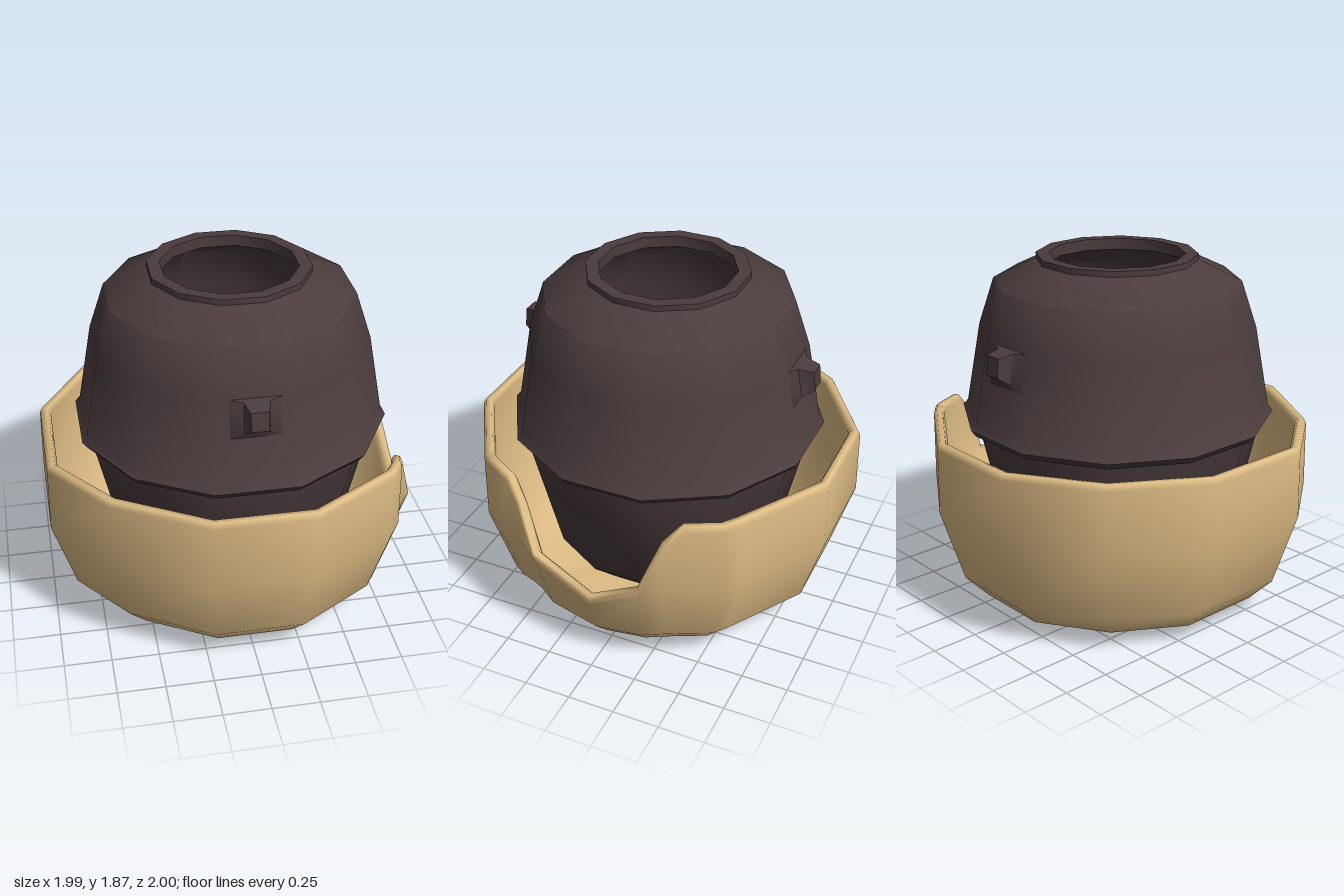
import * as THREE from 'three';
import { mergeVertices, toCreasedNormals } from 'three/addons/utils/BufferGeometryUtils.js';

// Skin over a closed loop of columns, each a list of [x, y, z] points
function loft(columns) {
  const n = columns.length, m = columns[0].length, index = [];
  for (let i = 0; i < n; i++) {
    for (let j = 0; j < m - 1; j++) {
      const a = i * m + j, b = ((i + 1) % n) * m + j;
      index.push(a, a + 1, b, b, a + 1, b + 1);
    }
  }
  let geo = new THREE.BufferGeometry();
  geo.setAttribute('position', new THREE.Float32BufferAttribute(columns.flat(2), 3));
  geo.setIndex(index);
  geo = mergeVertices(geo);
  geo.computeVertexNormals();
  return geo;
}

// Relative width of the bowl at height y
const BOWL_PROFILE = [[0, 0.63], [0.07, 0.76], [0.2, 0.88], [0.6, 1], [0.98, 0.995]];
function bowlScale(y) {
  for (let i = 1; i < BOWL_PROFILE.length; i++) {
    const [y0, s0] = BOWL_PROFILE[i - 1], [y1, s1] = BOWL_PROFILE[i];
    if (y <= y1) return s0 + (s1 - s0) * (y - y0) / (y1 - y0);
  }
  return 0.995;
}

// Plan of the bowl: x, z, rim height; the rim dips into a notch at +x
const BOWL_PLAN = [
  [1.04, 0, 0.46], [0.955, 0.34, 0.6], [0.87, 0.46, 0.84], [0.83, 0.54, 0.95], [0.8, 0.63, 0.98],
  [0.74, 0.72, 0.98], [0.28, 1, 0.98], [-0.25, 1, 0.98], [-0.72, 0.72, 0.98],
  [-1, 0.35, 0.98], [-1, -0.25, 0.98], [-0.72, -0.71, 0.98], [-0.27, -1, 0.98],
  [0.27, -1, 0.98], [0.73, -0.71, 0.98], [0.81, -0.65, 0.98], [0.89, -0.48, 0.98],
  [0.94, -0.38, 0.87], [1, -0.27, 0.6],
];

function bowlGeometry() {
  return loft(BOWL_PLAN.map(([x, z, top]) => {
    const r = Math.hypot(x, z);
    const mid = Math.min(0.6, top - 0.06);
    // height and inset: outside, rounded rim, inside
    const section = [
      [0, 0], [0.07, 0], [0.2, 0], [mid, 0], [top - 0.03, 0],
      [top, 0.015], [top, 0.045], [top - 0.03, 0.06], [mid, 0.06], [0.22, 0.06], [0.1, 0.08],
    ];
    const points = section.map(([y, inset]) => {
      const s = bowlScale(y) - inset / r;
      return [x * s, y, z * s];
    });
    return [[0, 0, 0], ...points, [0, 0.08, 0]];
  }));
}

// Twelve-sided pot, flat sides facing the axes
function potGeometry() {
  const profile = [
    [0, 0.1], [0.42, 0.12], [0.6, 0.3], [0.75, 0.97], [0.785, 0.985], [0.81, 1.02], [0.785, 1.05],
    [0.71, 1.48], [0.63, 1.73], [0.41, 1.84], [0.41, 1.87],
    [0.345, 1.87], [0.345, 1.81], [0.57, 1.69], [0.65, 1.46], [0.71, 1.0], [0.54, 0.32], [0, 0.18],
  ];
  const points = profile.map(([r, y]) => new THREE.Vector2(r / Math.cos(Math.PI / 12), y));
  return toCreasedNormals(new THREE.LatheGeometry(points, 12, Math.PI / 12), 0.8);
}

// Small lug flaring into the pot wall
function lugGeometry() {
  // half width, bottom y, bottom z, top y, top z
  const sections = [
    [0.15, 1.28, 0.735, 1.49, 0.7],
    [0.065, 1.33, 0.765, 1.485, 0.735],
    [0.045, 1.37, 0.825, 1.47, 0.815],
  ];
  const corners = [[1, true], [1, false], [-1, false], [-1, true]];
  const columns = corners.map(([side, upper]) => [
    ...sections.map(([w, yb, zb, yt, zt]) => [side * w, upper ? yt : yb, upper ? zt : zb]),
    [0, 1.42, 0.82],
  ]);
  return toCreasedNormals(loft(columns), 0.9);
}

export function createModel() {
  const model = new THREE.Group();
  model.name = 'potInBowl';
  const tan = new THREE.MeshStandardMaterial({ color: 0xe0be86 });
  const brown = new THREE.MeshStandardMaterial({ color: 0x4b3c3d });

  const add = (parent, name, geometry, material) => {
    const mesh = new THREE.Mesh(geometry, material);
    mesh.name = name;
    parent.add(mesh);
    return mesh;
  };

  // Notched outer bowl
  add(model, 'bowl', bowlGeometry(), tan);

  // Inner pot with a lug on front and back
  const pot = new THREE.Group();
  pot.name = 'pot';
  pot.position.x = 0.01;
  model.add(pot);
  add(pot, 'potBody', potGeometry(), brown);
  const lug = lugGeometry();
  add(pot, 'frontLug', lug, brown);
  add(pot, 'backLug', lug, brown).rotation.y = Math.PI;

  return model;
}
